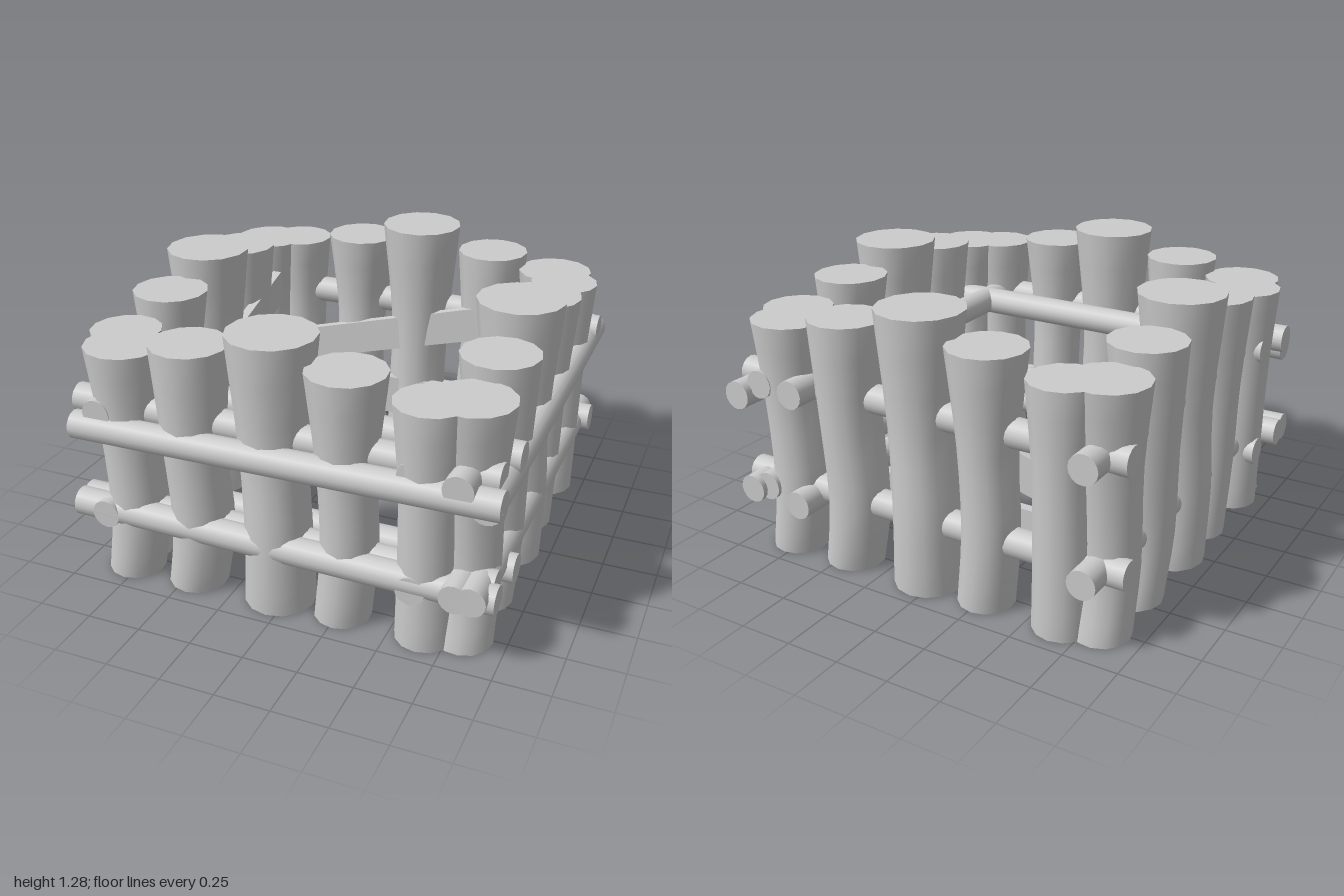
import * as THREE from 'three';
import { toCreasedNormals } from 'three/addons/utils/BufferGeometryUtils.js';

const material = new THREE.MeshStandardMaterial({ color: 0xcccccc });

function addMesh(parent, geometry, name) {
  const mesh = new THREE.Mesh(geometry, material);
  mesh.name = name;
  parent.add(mesh);
  return mesh;
}

// Crooked post with level ends; each section is [y, x, z, radius]
function postGeometry(sections) {
  const path = new THREE.CatmullRomCurve3(sections.map(([y, x, z]) => new THREE.Vector3(x, y, z)));
  const girth = new THREE.CatmullRomCurve3(sections.map(([y, , , r]) => new THREE.Vector3(r, y, 0)));
  const geo = new THREE.CylinderGeometry(1, 1, 1, 13, 9);
  const pos = geo.attributes.position;
  for (let i = 0; i < pos.count; i++) {
    const t = THREE.MathUtils.clamp(pos.getY(i) + 0.5, 0, 1);
    const c = path.getPoint(t);
    const r = girth.getPoint(t).x;
    pos.setXYZ(i, c.x + pos.getX(i) * r, c.y, c.z + pos.getZ(i) * r);
  }
  geo.computeVertexNormals();
  return toCreasedNormals(geo, 0.9);
}

// One side of the enclosure, from its left end to its right end
const POSTS = [
  [[0, -0.77, 0.81, 0.13], [0.3, -0.725, 0.81, 0.135], [0.75, -0.74, 0.81, 0.138], [1.12, -0.745, 0.8, 0.178]],
  [[0, -0.45, 0.8, 0.135], [0.3, -0.4, 0.81, 0.14], [0.7, -0.415, 0.82, 0.14], [1.18, -0.42, 0.81, 0.173]],
  [[0, -0.04, 0.79, 0.162], [0.35, -0.03, 0.81, 0.15], [0.75, -0.045, 0.8, 0.15], [1.28, -0.045, 0.79, 0.197]],
  [[0, 0.265, 0.8, 0.128], [0.35, 0.3, 0.81, 0.128], [0.75, 0.295, 0.82, 0.13], [1.18, 0.29, 0.81, 0.175]],
  [[0, 0.65, 0.81, 0.135], [0.35, 0.655, 0.82, 0.13], [0.75, 0.655, 0.83, 0.13], [1.12, 0.655, 0.825, 0.16]],
];

// Round rail along x, from (x0, y0) to (x1, y1) at depth z
function addRail(parent, name, x0, y0, x1, y1, z) {
  const length = Math.hypot(x1 - x0, y1 - y0);
  const rail = addMesh(parent, new THREE.CylinderGeometry(0.066, 0.066, length, 16), name);
  rail.position.set((x0 + x1) / 2, (y0 + y1) / 2, z);
  rail.rotation.z = Math.atan2(y1 - y0, x1 - x0) - Math.PI / 2;
}

export function createModel() {
  const model = new THREE.Group();
  model.name = 'logEnclosure';
  const postGeometries = POSTS.map(postGeometry);

  ['front', 'right', 'back', 'left'].forEach((sideName, i) => {
    const side = new THREE.Group();
    side.name = sideName + 'Wall';
    side.rotation.y = i * Math.PI / 2;
    model.add(side);
    postGeometries.forEach((geo, k) => addMesh(side, geo, 'post' + (k + 1)));

    // Rails threaded through the posts
    addRail(side, 'upperCoreRail', -0.985, 0.835, 0.955, 0.835, 0.82);
    addRail(side, 'lowerCoreRail', -0.985, 0.335, 0.955, 0.335, 0.82);

    if (i < 2) {
      // Rails lashed outside and inside the front and right walls
      addRail(side, 'upperOuterRail', -0.95, 0.755, 0.99, 0.775, 0.925);
      addRail(side, 'lowerOuterRail', -0.985, 0.34, 0.98, 0.315, 0.89);
      addRail(side, 'upperInnerRail', -0.95, 0.835, 0.985, 0.835, 0.622);
      addRail(side, 'lowerInnerRail', -0.95, 0.3, 0.985, 0.3, 0.622);
    } else {
      // Flat boards inside the back and left walls; the upper one slopes
      const tilt = i === 2 ? -1 : 1;
      const brace = addMesh(side, new THREE.BoxGeometry(1.36, 0.17, 0.045), 'slopingBoard');
      brace.position.set(0.03 * tilt, 0.72, 0.7);
      brace.rotation.z = -0.265;
      const board = addMesh(side, new THREE.BoxGeometry(1.38, 0.21, 0.045), 'levelBoard');
      board.position.set(0, 0.335, 0.7);
    }
  });
  return model;
}
